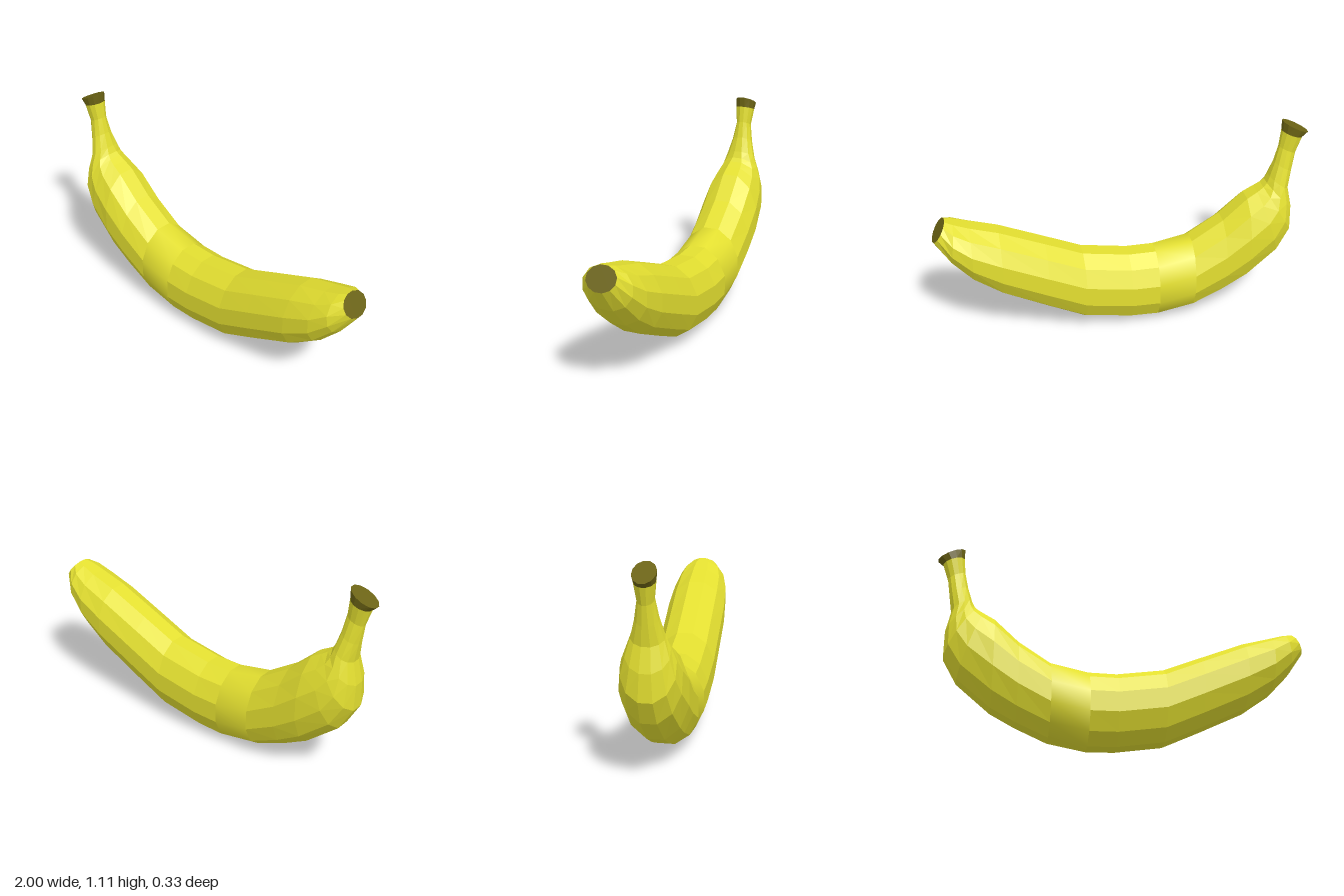
import * as THREE from 'three';

const SIDES = 12;

// Each section: lower x, lower y, upper x, upper y, half width in z
const STEM_TOP = [
  [-1.0, 1.035, -0.86, 1.105, 0.055],
  [-0.97, 1.01, -0.86, 1.05, 0.051],
];
const BODY = [
  STEM_TOP[1],
  [-0.94, 0.92, -0.85, 0.96, 0.04],
  [-0.925, 0.82, -0.83, 0.87, 0.056],
  [-0.91, 0.72, -0.805, 0.79, 0.08],
  [-0.935, 0.6, -0.79, 0.755, 0.105],
  [-0.935, 0.46, -0.77, 0.735, 0.13],
  [-0.86, 0.33, -0.735, 0.712, 0.15],
  [-0.68, 0.18, -0.68, 0.68, 0.165],
  [-0.55, 0.11, -0.55, 0.56, 0.165],
  [-0.38, 0.035, -0.38, 0.45, 0.165],
  [-0.18, 0.0, -0.18, 0.41, 0.165],
  [-0.03, 0.005, -0.03, 0.41, 0.165],
  [0.22, 0.045, 0.22, 0.45, 0.165],
  [0.42, 0.14, 0.42, 0.535, 0.165],
  [0.66, 0.26, 0.66, 0.635, 0.165],
  [0.81, 0.37, 0.81, 0.68, 0.155],
  [0.92, 0.49, 0.89, 0.707, 0.13],
  [1.0, 0.61, 0.93, 0.72, 0.077],
];
const BAND = 9; // index of the smoothly shaded middle section

// Twelve-sided ring with a flat facet at top and bottom
function ring([lx, ly, ux, uy, w]) {
  const k = Math.cos(Math.PI / SIDES);
  return Array.from({ length: SIDES }, (_, i) => {
    const a = ((i + 0.5) / SIDES) * Math.PI * 2;
    const t = 0.5 + (0.5 * Math.cos(a)) / k;
    return [lx + (ux - lx) * t, ly + (uy - ly) * t, (w * Math.sin(a)) / k];
  });
}

// Skin through the sections, with optional flat end caps
function loft(sections, { startCap = false, endCap = false, smooth = false } = {}) {
  const points = sections.flatMap(ring).flat();
  const index = [];
  for (let s = 0; s < sections.length - 1; s++) {
    for (let i = 0; i < SIDES; i++) {
      const j = (i + 1) % SIDES;
      const a = s * SIDES + i, b = s * SIDES + j;
      index.push(a, b, b + SIDES, a, b + SIDES, a + SIDES);
    }
  }
  const last = (sections.length - 1) * SIDES;
  for (let i = 1; i < SIDES - 1; i++) {
    if (startCap) index.push(0, i + 1, i);
    if (endCap) index.push(last, last + i, last + i + 1);
  }
  const indexed = new THREE.BufferGeometry();
  indexed.setAttribute('position', new THREE.Float32BufferAttribute(points, 3));
  indexed.setIndex(index);
  const geometry = smooth ? indexed : indexed.toNonIndexed();
  geometry.computeVertexNormals();
  return geometry;
}

export function createModel() {
  const peel = new THREE.MeshStandardMaterial({ color: 0xe3df30 });
  peel.name = 'yellow peel';
  const brown = new THREE.MeshStandardMaterial({ color: 0x6b6314 });
  brown.name = 'olive brown';

  const model = new THREE.Group();
  model.name = 'banana';
  const add = (name, geometry, material) => {
    const mesh = new THREE.Mesh(geometry, material);
    mesh.name = name;
    model.add(mesh);
  };

  // Peel: faceted halves either side of a smooth band
  add('stemHalf', loft(BODY.slice(0, BAND + 1)), peel);
  add('middleBand', loft(BODY.slice(BAND, BAND + 2), { smooth: true }), peel);
  add('tipHalf', loft(BODY.slice(BAND + 1)), peel);

  // Dark cut end of the stem
  add('stemEnd', loft(STEM_TOP, { startCap: true }), brown);

  // Dark flat tip
  const tip = BODY[BODY.length - 1];
  const inner = [tip[0] - 0.003, tip[1] - 0.002, tip[2] - 0.003, tip[3] - 0.002, tip[4]];
  add('tipEnd', loft([inner, tip], { endCap: true }), brown);

  return model;
}
